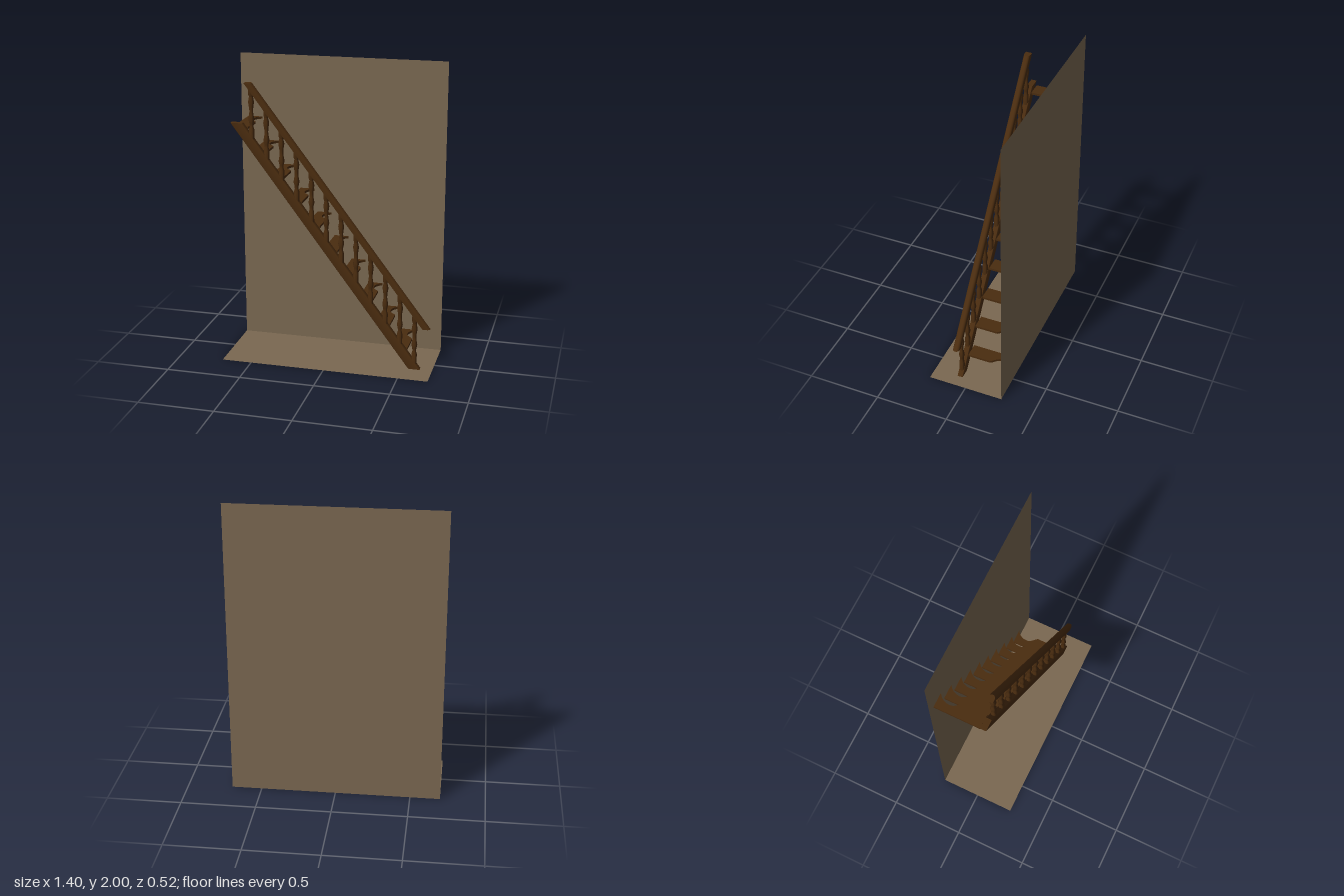
import * as THREE from 'three';
import { toCreasedNormals } from 'three/addons/utils/BufferGeometryUtils.js';

const wood = new THREE.MeshStandardMaterial({ color: 0x4a2c0f });
wood.name = 'dark wood';
const plaster = new THREE.MeshStandardMaterial({ color: 0x7a6851, side: THREE.DoubleSide });
plaster.name = 'brown plaster';

function add(parent, name, geometry, material) {
  const mesh = new THREE.Mesh(geometry, material);
  mesh.name = name;
  parent.add(mesh);
  return mesh;
}

// Extrudes a plan outline (x, -z) upwards from y = 0
function upright(shape, height, curveSegments = 10) {
  const g = new THREE.ExtrudeGeometry(shape, { depth: height, bevelEnabled: false, curveSegments });
  return g.rotateX(-Math.PI / 2);
}

// Upright extrusion leaning so that its top shifts by run in x
function sloped(shape, height, run) {
  const g = upright(shape, height);
  const p = g.attributes.position;
  for (let i = 0; i < p.count; i++) p.setX(i, p.getX(i) + (p.getY(i) / height) * run);
  return toCreasedNormals(g, 0.6);
}

export function createModel() {
  const model = new THREE.Group();
  model.name = 'staircase';

  // Wall and floor sheets
  add(model, 'wall', new THREE.PlaneGeometry(1.4, 2), plaster).position.set(0, 1, -0.26);
  add(model, 'floor', new THREE.PlaneGeometry(1.4, 0.52).rotateX(-Math.PI / 2), plaster);

  // Treads with a scooped front edge near the wall
  const tread = new THREE.Shape();
  tread.moveTo(0, -0.053);
  tread.lineTo(0.098, -0.053);
  tread.lineTo(0.098, 0.105);
  tread.bezierCurveTo(0.085, 0.13, 0.052, 0.14, 0.052, 0.18);
  tread.bezierCurveTo(0.052, 0.22, 0.075, 0.245, 0.098, 0.259);
  tread.lineTo(0, 0.259);
  const treadGeometry = toCreasedNormals(upright(tread, 0.015), 0.5);
  for (let i = 0; i < 10; i++) {
    add(model, 'tread', treadGeometry, wood).position.set(-0.652 + i * 0.12, 1.557 - i * 0.16, 0);
  }

  // Sloping stringer with eased corners
  const beam = new THREE.Shape();
  beam.moveTo(0.006, -0.096);
  beam.lineTo(0.072, -0.096);
  beam.quadraticCurveTo(0.078, -0.096, 0.078, -0.09);
  beam.lineTo(0.078, -0.064);
  beam.quadraticCurveTo(0.078, -0.058, 0.072, -0.058);
  beam.lineTo(0.006, -0.058);
  beam.quadraticCurveTo(0, -0.058, 0, -0.064);
  beam.lineTo(0, -0.09);
  beam.quadraticCurveTo(0, -0.096, 0.006, -0.096);
  add(model, 'stringer', sloped(beam, 1.602, -1.2), wood).position.set(0.539, 0, 0);

  // Handrail with a flat underside and rounded top
  const rail = new THREE.Shape();
  rail.moveTo(0, -0.099);
  rail.lineTo(0.025, -0.099);
  rail.bezierCurveTo(0.057, -0.099, 0.057, -0.055, 0.025, -0.055);
  rail.lineTo(0, -0.055);
  add(model, 'handrail', sloped(rail, 1.577, -1.195), wood).position.set(0.631, 0.29, 0);

  // Turned balusters, ends buried in the handrail and stringer
  const profile = [
    [0, 0], [0.018, 0], [0.018, 0.07], [0.012, 0.09], [0.014, 0.11], [0.02, 0.135],
    [0.014, 0.17], [0.012, 0.19], [0.015, 0.22], [0.02, 0.25], [0.013, 0.285],
    [0.018, 0.3], [0.018, 0.345], [0, 0.345],
  ].map(([r, y]) => new THREE.Vector2(r, y));
  const balusterGeometry = toCreasedNormals(new THREE.LatheGeometry(profile, 12), 0.7);
  for (let i = 0; i < 12; i++) {
    const x = -0.522 + i * 0.0998;
    add(model, 'baluster', balusterGeometry, wood).position.set(x, 0.035 + (0.576 - x) * 1.328, 0.078);
  }

  return model;
}
